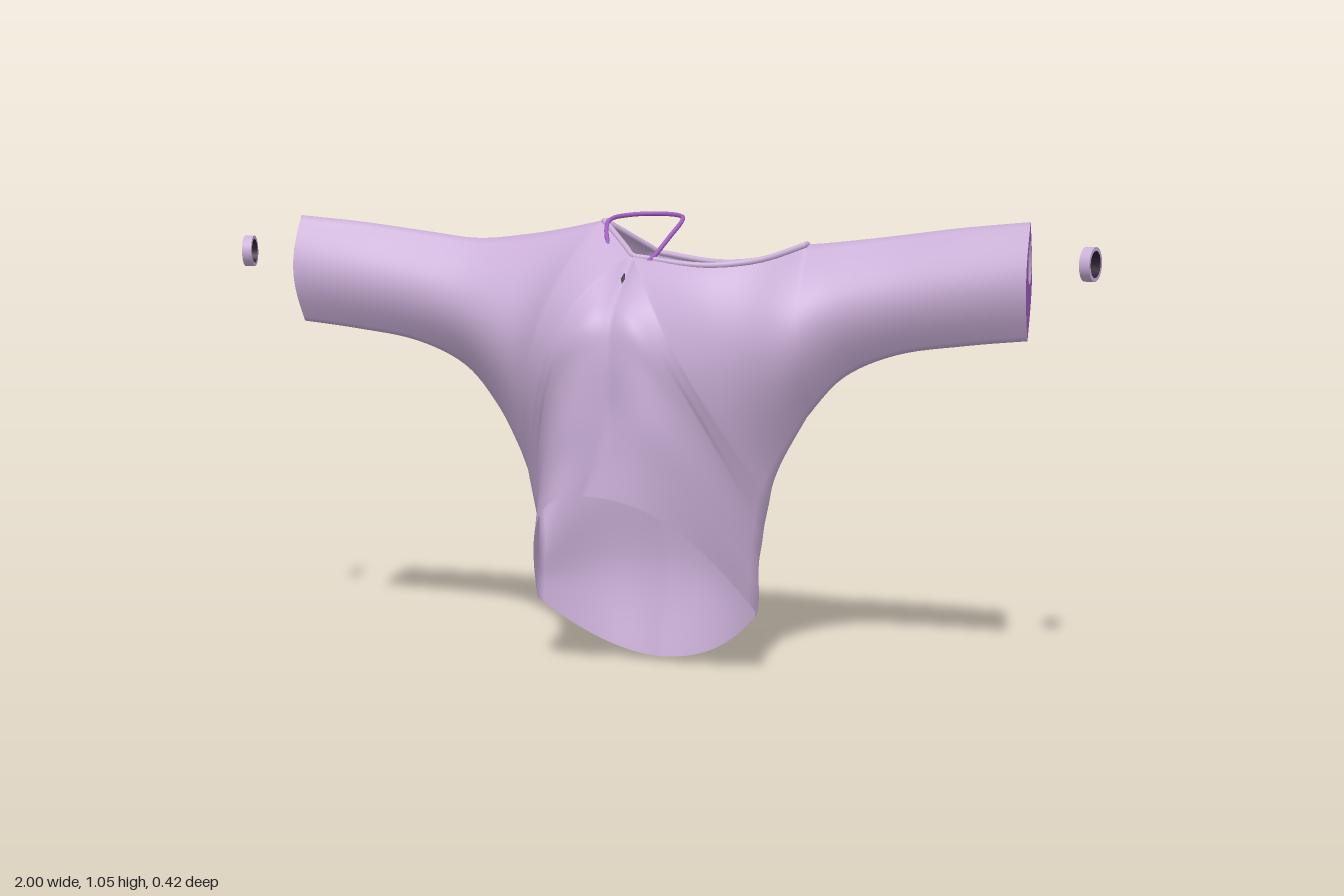
import * as THREE from 'three';
import { mergeGeometries, mergeVertices } from 'three/addons/utils/BufferGeometryUtils.js';

const mat = (name, color) => {
  const m = new THREE.MeshStandardMaterial({ color, side: THREE.DoubleSide });
  m.name = name;
  return m;
};

// Seam from the cuff under the arm and down the side to the hem: x, y, z
const SEAM = [
  [0.85, 0.785, -0.05], [0.72, 0.77, -0.06], [0.57, 0.745, -0.07], [0.45, 0.69, -0.08],
  [0.37, 0.6, -0.08], [0.32, 0.51, -0.08], [0.295, 0.45, -0.08], [0.285, 0.4, -0.08],
  [0.275, 0.35, -0.08], [0.27, 0.31, -0.08], [0.265, 0.27, -0.075], [0.265, 0.23, -0.07],
  [0.268, 0.19, -0.065], [0.265, 0.15, -0.06],
];
// Opposite edges (shoulder, neckline, centre line): x, y, z, bulge, roundness
const SLEEVE_TOP = [[0.85, 1.035, -0.045], [0.7, 1.02, -0.07], [0.55, 1.0, -0.09], [0.42, 0.985, -0.095]];
const SLEEVE_BULGE = [0.05, 0.058, 0.065, 0.08];
const NECK = {
  frontLeft: [[0.36, 0.98, -0.1, 0.11, 1], [0.27, 0.947, -0.01, 0.09, 1.1], [0.15, 0.937, 0.03, 0.11, 1.2]],
  frontRight: [[-0.3, 0.995, -0.09, 0.11, 1], [-0.2, 1.01, -0.08, 0.14, 1.1], [-0.1, 1.03, -0.065, 0.2, 1.2]],
  backLeft: [[0.36, 0.98, -0.1, -0.07, 1], [0.26, 0.945, -0.14, -0.05, 1.1], [0.14, 0.935, -0.155, -0.04, 1.2]],
  backRight: [[-0.3, 0.995, -0.09, -0.075, 1], [-0.2, 1.01, -0.08, -0.08, 1.1], [-0.1, 1.03, -0.065, -0.08, 1.2]],
};
const CENTRE = {
  front: [
    [0, 0.955, 0.03, 0.19, 1.5], [0, 0.895, 0.11, 0.13, 1.7], [0, 0.83, 0.185, 0.06, 2], [0, 0.75, 0.205, 0.03, 2.3],
    [0, 0.63, 0.2, 0.03, 2.6], [-0.02, 0.53, 0.2, 0.02, 2.8], [-0.055, 0.445, 0.2, 0.02, 2.8],
  ],
  back: [
    [0, 0.955, -0.16, -0.03, 1.5], [0, 0.87, -0.165, -0.025, 1.7], [0, 0.74, -0.158, -0.02, 2], [0, 0.58, -0.158, -0.015, 2.3],
    [0, 0.42, -0.17, -0.01, 2.5], [0, 0.2, -0.205, -0.01, 2.5], [0, 0, -0.18, -0.01, 2.2],
  ],
};

// Smooth interpolation of rows, with a corner kept at each index in breaks
function sample(rows, u, breaks) {
  let k = 0;
  while (k < breaks.length - 2 && u >= breaks[k + 1]) k++;
  const lo = breaks[k], hi = breaks[k + 1];
  const i = Math.min(Math.floor(u), hi - 1), f = u - i;
  const at = (n) => rows[Math.max(lo, Math.min(hi, n))];
  return rows[i].map((_, c) => {
    const [a, b, d, e] = [at(i - 1)[c], at(i)[c], at(i + 1)[c], at(i + 2)[c]];
    return b + 0.5 * f * (d - a + f * (2 * a - 5 * b + 4 * d - e + f * (3 * (b - d) + e - a)));
  });
}

// One quarter of the garment, spanned between the seam and the opposite edge
function makePanel(front, left) {
  const face = front ? 'front' : 'back', side = left ? 1 : -1;
  const edge = [
    ...SLEEVE_TOP.map(([x, y, z], i) => [x * side, y, z, SLEEVE_BULGE[i] * (front ? 1 : -1), 1]),
    ...NECK[face + (left ? 'Left' : 'Right')],
    ...CENTRE[face],
  ];
  const breaks = [0, left ? 4 : 6, 7, 13];
  const edgeAt = (u) => sample(edge, u, breaks);
  const ROWS = 78, COLS = 24, pos = [], idx = [];
  for (let i = 0; i <= ROWS; i++) {
    const u = (i / ROWS) * 13;
    const [ax, ay, az] = sample(SEAM, u, breaks);
    const [bx, by, bz, bulge, power] = edgeAt(u);
    for (let j = 0; j <= COLS; j++) {
      const t = j / COLS, s = 1 - Math.pow(1 - t, power);
      pos.push(
        THREE.MathUtils.lerp(ax * side, bx, t),
        THREE.MathUtils.lerp(ay, by, s),
        THREE.MathUtils.lerp(az, bz, s) + bulge * Math.sin(Math.PI * t),
      );
      if (i < ROWS && j < COLS) {
        const a = i * (COLS + 1) + j, b = a + COLS + 1;
        if (front === left) idx.push(a, a + 1, b + 1, a, b + 1, b);
        else idx.push(a, b + 1, a + 1, a, b, b + 1);
      }
    }
  }
  const geometry = new THREE.BufferGeometry();
  geometry.setAttribute('position', new THREE.Float32BufferAttribute(pos, 3));
  geometry.setIndex(idx);
  // Neckline points from the shoulder corner to the centre
  const neckline = [];
  for (let u = breaks[1]; u <= 7.001; u += 0.25) neckline.push(new THREE.Vector3(...edgeAt(Math.min(u, 7)).slice(0, 3)));
  return { geometry, neckline };
}

export function createModel() {
  const model = new THREE.Group();
  const cloth = mat('mauve cloth', 0xcbb0d8);
  const purple = mat('purple', 0xa35fc2);
  const dark = mat('dark metal', 0x2b2033);
  const add = (name, geometry, material, parent = model) => {
    const mesh = new THREE.Mesh(geometry, material);
    mesh.name = name;
    parent.add(mesh);
    return mesh;
  };

  // Sweater body with wide sleeves, open at neck and hem
  const fl = makePanel(true, true), fr = makePanel(true, false);
  const bl = makePanel(false, true), br = makePanel(false, false);
  const body = mergeVertices(mergeGeometries([fl, fr, bl, br].map((p) => p.geometry)), 1e-4);
  body.computeVertexNormals();
  add('sweater', body, cloth);

  // Rolled collar around the slanted neckline
  const loop = [
    ...fl.neckline, ...fr.neckline.reverse().slice(1),
    ...br.neckline.slice(1), ...bl.neckline.reverse().slice(1, -1),
  ];
  add('collar', new THREE.TubeGeometry(new THREE.CatmullRomCurve3(loop, true), 90, 0.007, 8, true), cloth);

  // Cuff plates with a wrist hole
  const cuff = new THREE.Shape();
  const N = 16;
  for (let i = 0; i < 2 * N; i++) {
    const t = i < N ? i / N : 2 - i / N, dir = i < N ? 1 : -1;
    const z = -0.05 + 0.005 * t + dir * 0.05 * Math.sin(Math.PI * t), y = 0.785 + 0.25 * t;
    if (i === 0) cuff.moveTo(z, y);
    else cuff.lineTo(z, y);
  }
  cuff.holes.push(new THREE.Path().absellipse(-0.058, 0.95, 0.03, 0.046, 0, Math.PI * 2, true));

  for (const side of [1, -1]) {
    const label = side > 0 ? 'left' : 'right';
    const plate = new THREE.ShapeGeometry(cuff, 16).rotateY(-Math.PI / 2);
    if (side > 0) { // face outwards
      plate.setIndex([...plate.index.array].reverse());
      plate.computeVertexNormals();
    }
    add(label + 'Cuff', plate, purple).position.x = side * 0.85;

    // Bracelet: cloth-coloured band with dark lining
    const bracelet = new THREE.Group();
    bracelet.name = label + 'Bracelet';
    const w = 0.011;
    const profile = [[0.028, -w], [0.036, -w], [0.036, -w], [0.036, w], [0.036, w], [0.028, w]];
    const band = new THREE.LatheGeometry(profile.map(([r, y]) => new THREE.Vector2(r, y)), 28);
    add('band', band.rotateZ(Math.PI / 2), cloth, bracelet);
    add('lining', new THREE.CylinderGeometry(0.028, 0.028, 2 * w, 28, 1, true).rotateZ(Math.PI / 2), dark, bracelet);
    bracelet.position.set(side * 0.977, 0.95, -0.023);
    bracelet.rotation.y = -side * 0.28;
    model.add(bracelet);
  }

  // Necklace chain and star pendant
  const half = [[0.04, 0.945, 0.04], [0.075, 1.0, -0.01], [0.085, 1.03, -0.06], [0.06, 1.04, -0.12]];
  const chain = [
    [0, 0.915, 0.075], ...half, [0, 1.043, -0.145],
    ...half.map(([x, y, z]) => [-x, y, z]).reverse(),
  ].map((p) => new THREE.Vector3(...p));
  add('necklace', new THREE.TubeGeometry(new THREE.CatmullRomCurve3(chain, true), 80, 0.005, 8, true), purple);

  const star = new THREE.Shape();
  for (let i = 0; i < 10; i++) {
    const a = Math.PI / 2 + (i * Math.PI) / 5, r = i % 2 ? 0.008 : 0.02;
    star[i ? 'lineTo' : 'moveTo'](r * Math.cos(a), r * Math.sin(a));
  }
  const pendant = add('pendant', new THREE.ExtrudeGeometry(star, { depth: 0.008, bevelEnabled: false }), dark);
  pendant.position.set(0, 0.9, 0.095);
  pendant.rotation.x = -0.6;
  return model;
}
